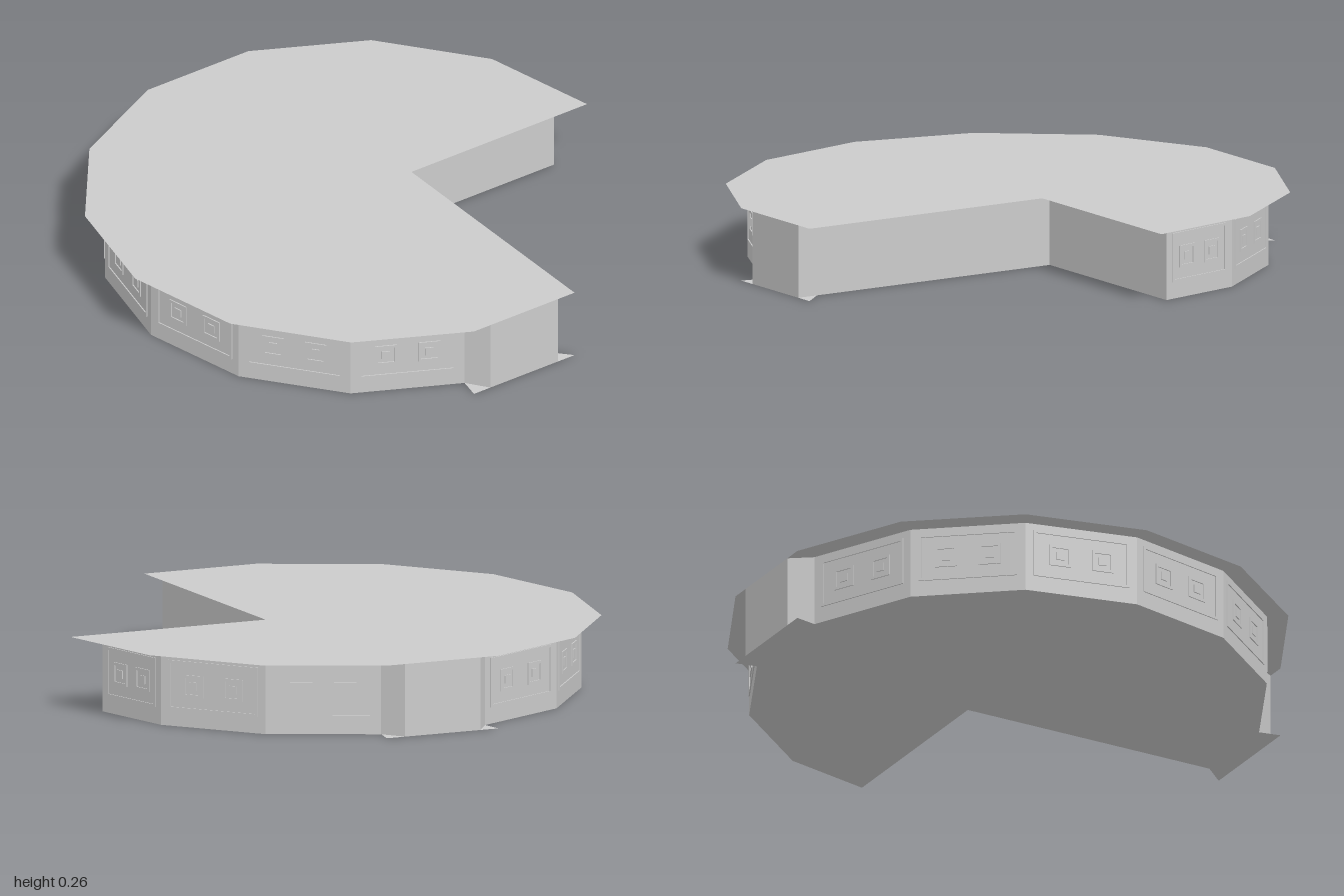
import * as THREE from 'three';

const HEIGHT = 0.265;
const RELIEF = 0.004;
const grey = new THREE.MeshStandardMaterial({ color: 0xcccccc, flatShading: true });
const greySheet = new THREE.MeshStandardMaterial({ color: 0xcccccc, flatShading: true, side: THREE.DoubleSide });

// Corner i of the fourteen-sided plan, as [x, z]
const corner = (i, rx, rz) => {
  const a = (i * Math.PI * 2) / 14;
  return [rx * Math.cos(a), rz * Math.sin(a)];
};
const corners = (from, to, rx, rz) =>
  Array.from({ length: to - from + 1 }, (_, k) => corner(from + k, rx, rz));

// Flat horizontal sheet from [x, z] points, facing up or down
function sheet(name, points, y, up) {
  const s = up ? -1 : 1;
  const shape = new THREE.Shape(points.map(([x, z]) => new THREE.Vector2(x, s * z)));
  const geometry = new THREE.ShapeGeometry(shape);
  geometry.rotateX((s * Math.PI) / 2);
  const mesh = new THREE.Mesh(geometry, greySheet);
  mesh.name = name;
  mesh.position.y = y;
  return mesh;
}

// Shallow raised rectangular ring on a wall face
function ring(name, w, h, t, x, y) {
  const rect = (P, a, b) =>
    new P([[-a, -b], [a, -b], [a, b], [-a, b]].map(([u, v]) => new THREE.Vector2(u, v)));
  const shape = rect(THREE.Shape, w / 2, h / 2);
  shape.holes.push(rect(THREE.Path, w / 2 - t, h / 2 - t));
  const mesh = new THREE.Mesh(
    new THREE.ExtrudeGeometry(shape, { depth: RELIEF, bevelEnabled: false }), grey);
  mesh.name = name;
  mesh.position.set(x, y, 0);
  return mesh;
}

// One wall face between two plan points, with optional panel relief
function wall(name, [x0, z0], [x1, z1], decorated) {
  const dx = x1 - x0, dz = z1 - z0, length = Math.hypot(dx, dz);
  const group = new THREE.Group();
  group.name = name;
  const face = new THREE.Mesh(new THREE.PlaneGeometry(length, HEIGHT), grey);
  face.name = 'wallFace';
  face.position.y = HEIGHT / 2;
  group.add(face);
  if (decorated) {
    group.add(ring('panelFrame', length - 0.06, 0.18, 0.01, 0, 0.15));
    for (const side of [-1, 1]) {
      const x = side * length * 0.19;
      group.add(ring('windowFrame', 0.08, 0.08, 0.01, x, 0.15));
      const bar = new THREE.Mesh(new THREE.BoxGeometry(0.03, 0.03, RELIEF), grey);
      bar.name = 'windowCentre';
      bar.position.set(x, 0.15, RELIEF / 2);
      group.add(bar);
    }
  }
  group.position.set((x0 + x1) / 2, 0, (z0 + z1) / 2);
  group.rotation.y = Math.atan2(dz, -dx);
  return group;
}

export function createModel() {
  const model = new THREE.Group();
  model.name = 'notchedRoundCounter';
  const RX = 0.93, RZ = 0.944, TZ = 1 / Math.sin((3 * Math.PI * 2) / 14);
  const tip = 0.2225;

  // Wide top sheet with a quarter cut away
  model.add(sheet('topSheet',
    [[tip, 0], [tip, 1], ...corners(4, 14, 1, TZ)], HEIGHT, true));

  // Base sheet follows the walls, with flared tips at the front and back ends
  model.add(sheet('baseSheet', [
    [0.15, -0.08], [0.15, 0.92], [tip, 1], [-tip, 1],
    ...corners(4, 10, RX, RZ),
    [-tip, -1], [tip, -1],
    ...corners(11, 13, RX, RZ),
    [0.912, -0.08],
  ], 0, false));

  // Decorated outer walls: long left run and shorter back run
  const runs = [corners(4, 10, RX, RZ), [...corners(11, 13, RX, RZ), [0.912, -0.08]]];
  for (const run of runs)
    for (let i = 0; i + 1 < run.length; i++)
      model.add(wall('outerPanel', run[i], run[i + 1], true));

  // Plain end blocks with their slanted cheeks, and the two notch walls
  const [longRun, shortRun] = runs;
  model.add(wall('frontEnd', [0.15, 1], [-0.15, 1], false));
  model.add(wall('frontCheek', [-0.15, 1], longRun[0], false));
  model.add(wall('backCheek', longRun[6], [-0.15, -1], false));
  model.add(wall('backEnd', [-0.15, -1], [0.15, -1], false));
  model.add(wall('backCheek', [0.15, -1], shortRun[0], false));
  model.add(wall('notchWall', [0.912, -0.08], [0.15, -0.08], false));
  model.add(wall('notchWall', [0.15, -0.08], [0.15, 1], false));
  return model;
}
